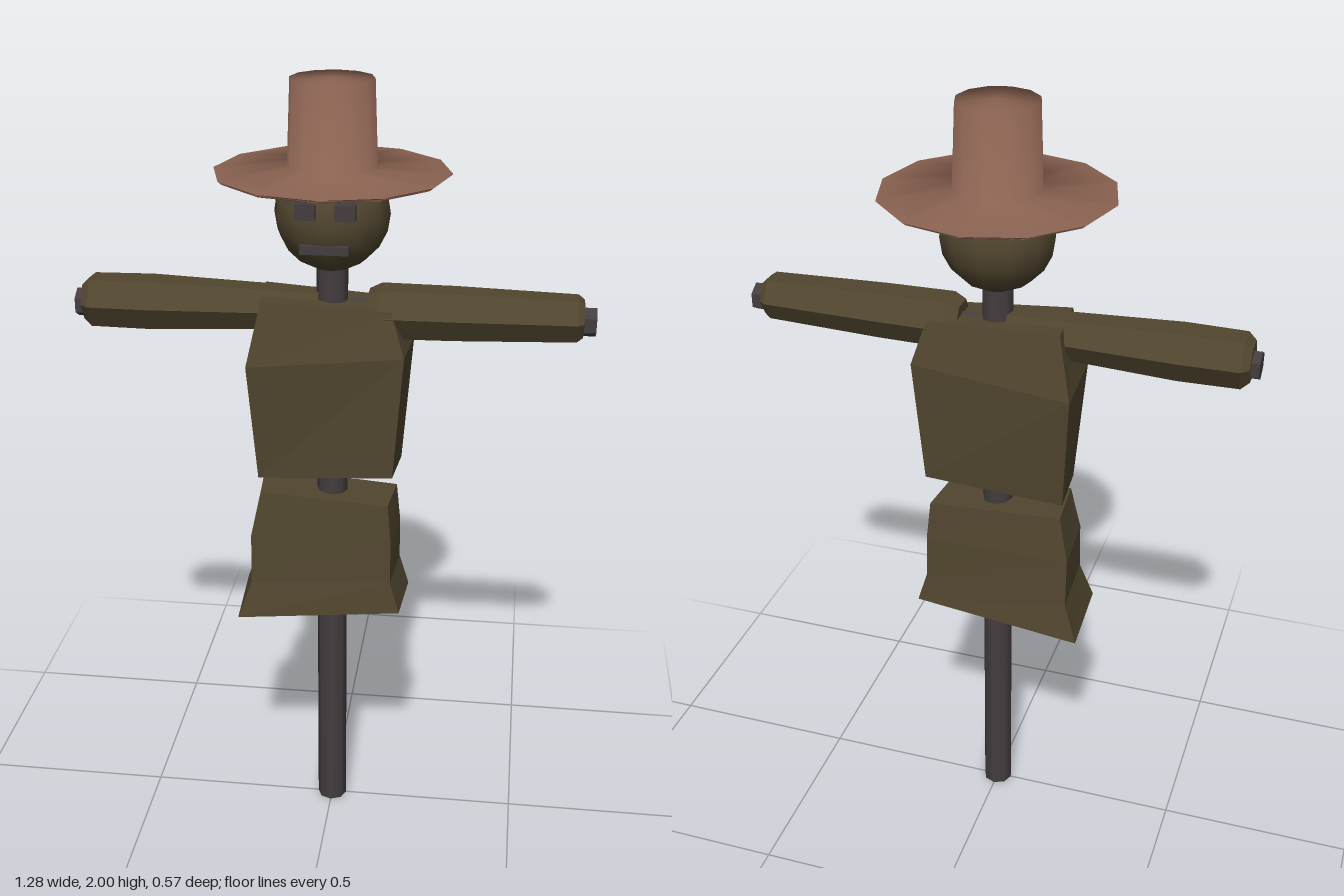
import * as THREE from 'three';

const cloth = new THREE.MeshStandardMaterial({ name: 'olive cloth', color: 0x51462f });
const felt = new THREE.MeshStandardMaterial({ name: 'brown felt', color: 0x8a6251, side: THREE.DoubleSide });
const wood = new THREE.MeshStandardMaterial({ name: 'dark wood', color: 0x443d40 });

function flat(geometry) {
  const g = geometry.index ? geometry.toNonIndexed() : geometry;
  g.computeVertexNormals();
  return g;
}

// Box bent through levels, bottom to top: [y, x, half depth] at the right edge, then at the left edge
function bentBox(levels) {
  const n = levels.length - 1;
  const g = new THREE.BoxGeometry(1, 1, 1, 1, n, 1);
  const p = g.attributes.position;
  for (let i = 0; i < p.count; i++) {
    const level = levels[Math.round((p.getY(i) + 0.5) * n)];
    const side = p.getX(i) < 0 ? -1 : 1;
    const [y, x, depth] = side < 0 ? level.slice(0, 3) : level.slice(3);
    const back = p.getZ(i) < 0;
    p.setXYZ(i, x + (back ? side * 0.012 : 0), y, back ? -depth : depth);
  }
  return flat(g);
}

// Straight turned shape from [radius, height] points
function turned(points, sides) {
  return new THREE.LatheGeometry(points.map(([r, y]) => new THREE.Vector2(r, y)), sides);
}

export function createModel() {
  const group = new THREE.Group();
  const add = (name, geometry, material, x = 0, y = 0, z = 0) => {
    const mesh = new THREE.Mesh(geometry, material);
    mesh.name = name;
    mesh.position.set(x, y, z);
    group.add(mesh);
    return mesh;
  };

  // Wooden frame
  add('pole', new THREE.CylinderGeometry(0.039, 0.039, 1.6, 8), wood, 0, 0.8, 0);
  const bar = new THREE.CylinderGeometry(0.036, 0.036, 1.28, 6);
  bar.rotateY(Math.PI / 6).rotateZ(-Math.PI / 2);
  add('crossbar', flat(bar), wood, 0, 1.435, 0);

  // Torso and skirt of the coat
  add('torso', bentBox([
    [1.01, -0.18, 0.075, 1.025, 0.16, 0.07],
    [1.32, -0.2, 0.11, 1.35, 0.185, 0.085],
    [1.48, -0.165, 0.08, 1.46, 0.15, 0.065],
  ]), cloth);
  add('skirt', bentBox([
    [0.62, -0.235, 0.115, 0.645, 0.185, 0.085],
    [0.72, -0.2, 0.097, 0.73, 0.16, 0.08],
    [0.85, -0.2, 0.088, 0.84, 0.16, 0.075],
    [0.97, -0.175, 0.075, 0.945, 0.15, 0.068],
  ]), cloth);

  // Six-sided sleeves along the crossbar
  const sleeves = {
    rightSleeve: [[0, -0.62], [0.05, -0.62], [0.068, -0.6], [0.07, -0.45], [0.052, -0.03], [0, -0.03]],
    leftSleeve: [[0, 0.09], [0.055, 0.09], [0.07, 0.12], [0.068, 0.3], [0.059, 0.595], [0.047, 0.61], [0, 0.61]],
  };
  for (const [name, points] of Object.entries(sleeves)) {
    add(name, flat(turned(points, 6).rotateZ(-Math.PI / 2)), cloth, 0, 1.443, 0);
  }

  // Head and face
  add('head', new THREE.SphereGeometry(0.14, 12, 10), cloth, 0, 1.685, 0);
  for (const side of [-1, 1]) {
    add(side < 0 ? 'rightEye' : 'leftEye', new THREE.BoxGeometry(0.048, 0.038, 0.024), wood, side * 0.047, 1.718, 0.128);
  }
  add('mouth', new THREE.BoxGeometry(0.115, 0.02, 0.026), wood, -0.003, 1.627, 0.123);

  // Hat: brim underside, rim, crown and top in one smooth profile
  add('hat', turned([
    [0.1, 1.775], [0.275, 1.776], [0.285, 1.784], [0.108, 1.798], [0.1, 2], [0, 2],
  ], 12), felt);

  return group;
}
